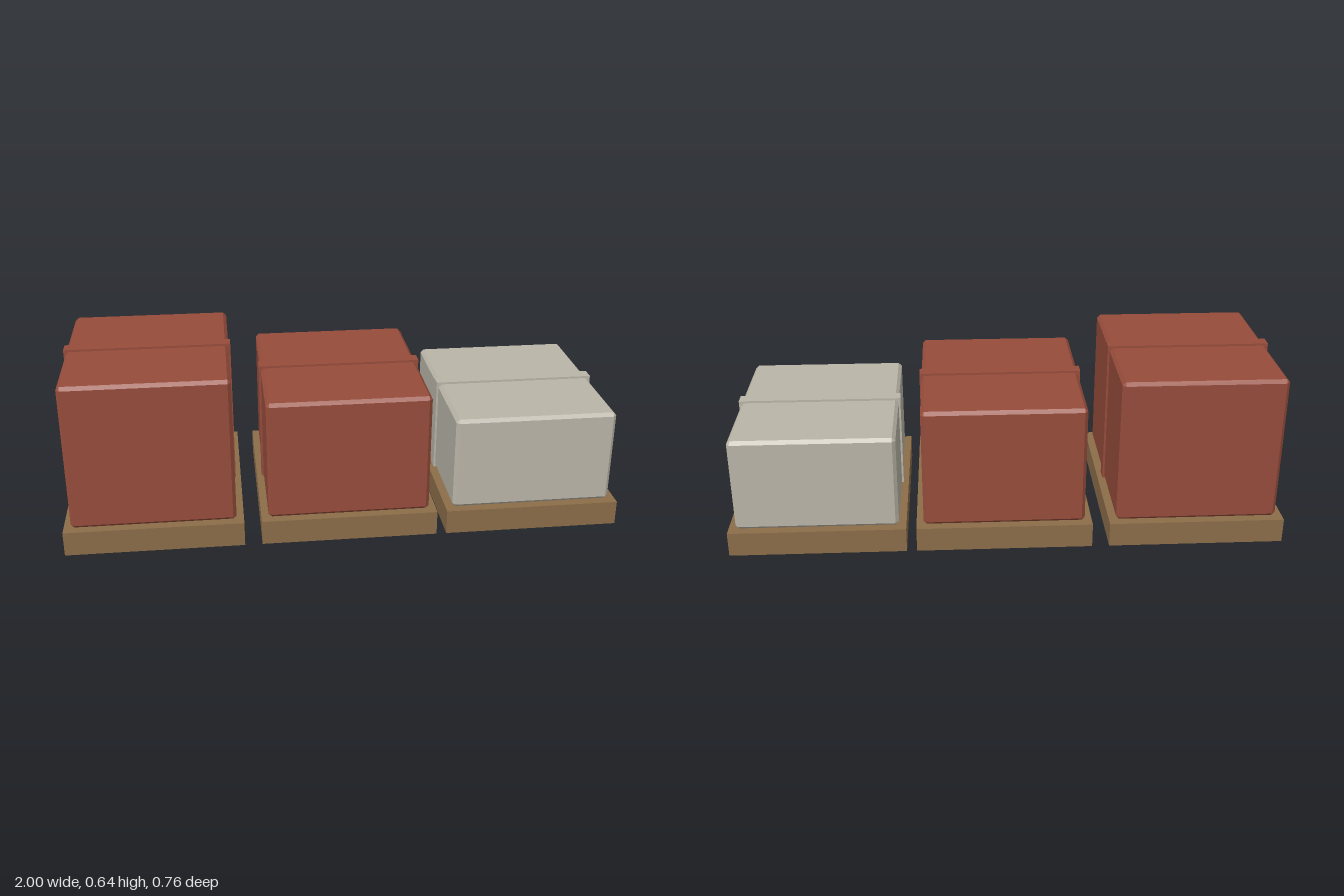
import * as THREE from 'three';
import { ConvexGeometry } from 'three/addons/geometries/ConvexGeometry.js';

// Box with every edge cut by a flat chamfer
function chamferBox(w, h, d, c) {
  const points = [];
  for (const sx of [-1, 1]) for (const sy of [-1, 1]) for (const sz of [-1, 1]) {
    for (let face = 0; face < 3; face++) {
      const inset = [c, c, c];
      inset[face] = 0;
      points.push(new THREE.Vector3(
        sx * (w / 2 - inset[0]), sy * (h / 2 - inset[1]), sz * (d / 2 - inset[2])));
    }
  }
  return new ConvexGeometry(points);
}

export function createModel() {
  const wood = new THREE.MeshStandardMaterial({ name: 'wood', color: 0x8c6d49 });
  const red = new THREE.MeshStandardMaterial({ name: 'brickRed', color: 0x964c3b });
  const grey = new THREE.MeshStandardMaterial({ name: 'paleGrey', color: 0xbab5a8 });

  const model = new THREE.Group();
  model.name = 'palletStacks';
  const base = 0.09;

  function add(parent, name, geometry, material, y) {
    const mesh = new THREE.Mesh(geometry, material);
    mesh.name = name;
    mesh.position.y = y;
    parent.add(mesh);
  }

  // Three loads, stepping down towards +x
  const loads = [
    { name: 'tallLoad', x: -0.683, height: 0.538, material: red },
    { name: 'middleLoad', x: 0.013, height: 0.443, material: red },
    { name: 'lowLoad', x: 0.683, height: 0.347, material: grey },
  ];
  for (const { name, x, height, material } of loads) {
    const load = new THREE.Group();
    load.name = name;
    load.position.x = x;
    add(load, 'pallet', new THREE.BoxGeometry(0.634, base, 0.762), wood, base / 2);
    add(load, 'crate', chamferBox(0.582, height, 0.712, 0.012), material, base + height / 2);
    // Strap around the middle, slightly proud of the crate
    const strapHeight = height + 0.008;
    add(load, 'strap', new THREE.BoxGeometry(0.596, strapHeight, 0.05), material, base + strapHeight / 2);
    model.add(load);
  }
  return model;
}
